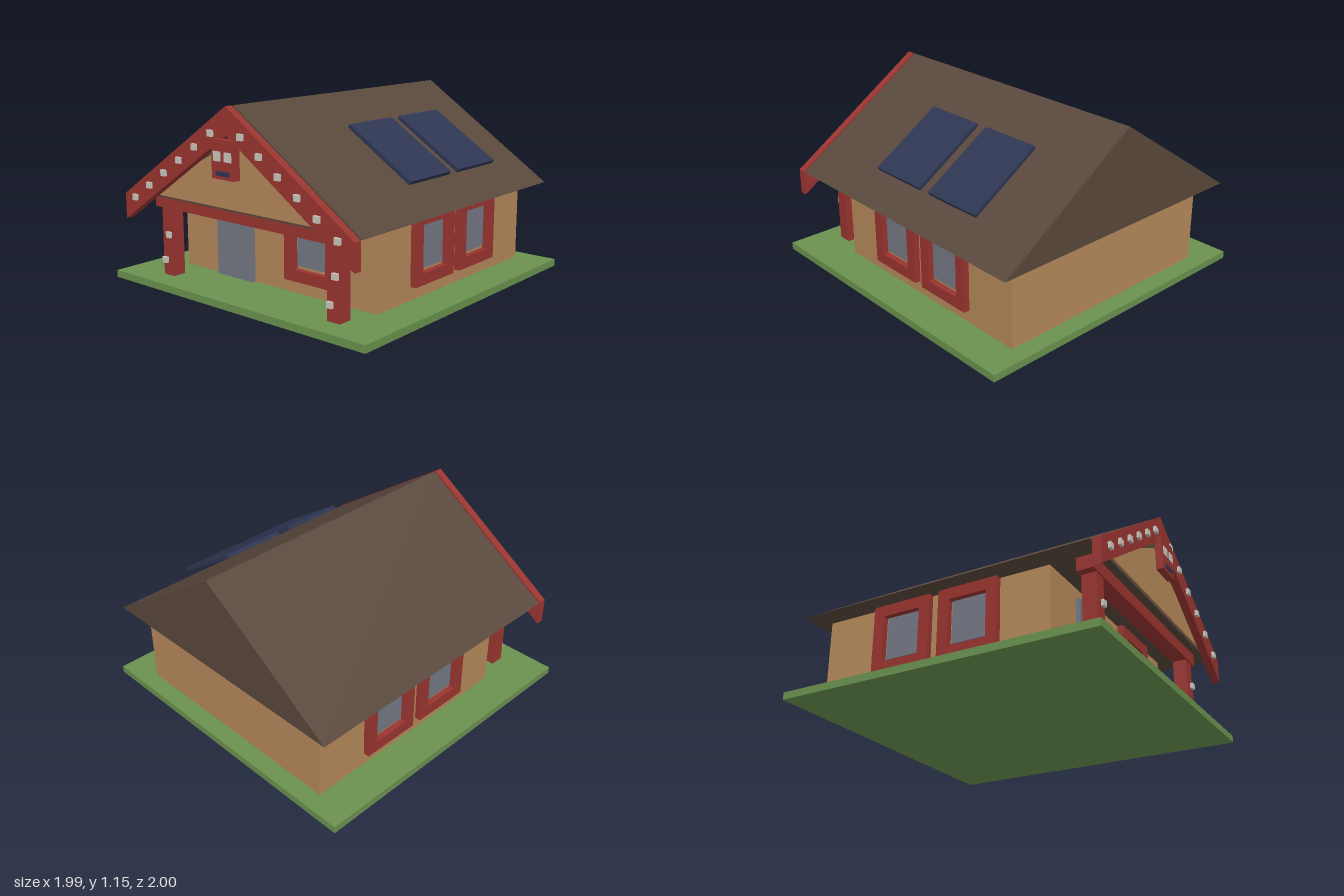
import * as THREE from 'three';

const mat = (name, color) => {
  const m = new THREE.MeshStandardMaterial({ color });
  m.name = name;
  return m;
};

export function createModel() {
  const model = new THREE.Group();
  model.name = 'meetingHouse';

  const grass = mat('grass green', 0x6a924e);
  const tan = mat('wall tan', 0xb5895a);
  const red = mat('carved red', 0x9a3430);
  const brown = mat('roof brown', 0x5a483c);
  const grey = mat('glass grey', 0x747884);
  const navy = mat('panel navy', 0x2e3653);
  const pale = mat('shell pale', 0xcbc7be);

  const add = (name, geo, material, x = 0, y = 0, z = 0, parent = model) => {
    const mesh = new THREE.Mesh(geo, material);
    mesh.name = name;
    mesh.position.set(x, y, z);
    parent.add(mesh);
    return mesh;
  };
  // Box given by its min and max on each axis
  const box = (name, material, [x0, x1], [y0, y1], [z0, z1], parent = model) =>
    add(name, new THREE.BoxGeometry(x1 - x0, y1 - y0, z1 - z0), material,
      (x0 + x1) / 2, (y0 + y1) / 2, (z0 + z1) / 2, parent);
  // Flat outline pushed along +z from z0 to z1
  const slab = (name, material, points, z0, z1) => {
    const shape = new THREE.Shape(points.map(p => new THREE.Vector2(...p)));
    const geo = new THREE.ExtrudeGeometry(shape, { depth: z1 - z0, bevelEnabled: false });
    return add(name, geo, material, 0, 0, z0);
  };

  // Ground and body
  box('ground', grass, [-0.995, 0.995], [0, 0.045], [-1, 0.99]);
  box('walls', tan, [-0.765, 0.765], [0.045, 0.55], [-0.89, 0.6]);
  box('door', grey, [-0.46, -0.16], [0.045, 0.48], [0.6, 0.625]);

  // Solid gabled roof and the front gable board
  slab('roof', brown, [[-0.905, 0.55], [0.905, 0.55], [0, 1.155]], -0.985, 0.902);
  slab('gable', tan, [[-0.765, 0.565], [0.765, 0.565], [0, 0.952]], 0.902, 0.912);

  // Barge boards along the front slopes
  slab('bargeBoards', red, [
    [-0.905, 0.55], [-0.905, 0.39], [0, 0.995], [0.905, 0.39], [0.905, 0.55], [0, 1.155],
  ], 0.915, 0.965);

  // Pale inlays on barge boards
  const inlay = new THREE.BoxGeometry(0.037, 0.037, 0.02);
  for (const s of [-1, 1]) {
    for (let i = 0; i < 6; i++) {
      add('bargeInlay', inlay, pale, s * (0.118 + i * 0.1365), 0.997 - i * 0.0914, 0.973);
    }
    // Porch posts with two staggered inlays each
    const x = s * 0.665;
    box('porchPost', red, [x - 0.044, x + 0.044], [0.045, 0.475], [0.757, 0.845]);
    add('postInlay', inlay, pale, x + 0.019, 0.305, 0.853);
    add('postInlay', inlay, pale, x - 0.019, 0.142, 0.853);
  }
  box('porchBeam', red, [-0.76, 0.76], [0.47, 0.55], [0.752, 0.852]);

  // Gable mask
  const mask = new THREE.Group();
  mask.name = 'gableMask';
  model.add(mask);
  box('face', red, [-0.088, 0.088], [0.752, 0.973], [0.95, 0.994], mask);
  for (const s of [-1, 1]) {
    box('eye', pale, [s * 0.043 - 0.027, s * 0.043 + 0.027], [0.853, 0.907], [0.992, 1], mask);
  }
  box('mouth', navy, [-0.053, 0.053], [0.773, 0.798], [0.992, 1], mask);

  // Windows: frame with an opening, and glass behind it
  const rect = (Type, w, h) => new Type().moveTo(-w / 2, -h / 2).lineTo(w / 2, -h / 2)
    .lineTo(w / 2, h / 2).lineTo(-w / 2, h / 2).closePath();
  const frameShape = rect(THREE.Shape, 0.384, 0.424);
  frameShape.holes.push(rect(THREE.Path, 0.245, 0.285));
  const frameGeo = new THREE.ExtrudeGeometry(frameShape, { depth: 0.038, bevelEnabled: false });
  const glassGeo = new THREE.BoxGeometry(0.222, 0.262, 0.01);
  const addWindow = (x, z, turn) => {
    const w = new THREE.Group();
    w.name = 'window';
    w.position.set(x, 0.338, z);
    w.rotation.y = turn;
    add('frame', frameGeo, red, 0, 0, 0, w);
    add('glass', glassGeo, grey, 0, 0.007, 0.005, w);
    model.add(w);
  };
  addWindow(0.306, 0.6, 0);
  for (const z of [0.1, -0.345]) {
    for (const s of [-1, 1]) addWindow(s * 0.765, z, s * Math.PI / 2);
  }

  // Solar panels raised above the left slope
  for (const z of [0.096, -0.385]) {
    const panel = add('solarPanel', new THREE.BoxGeometry(0.52, 0.024, 0.4), navy, 0.535, 0.863, z);
    panel.rotation.z = -0.57;
  }

  return model;
}
